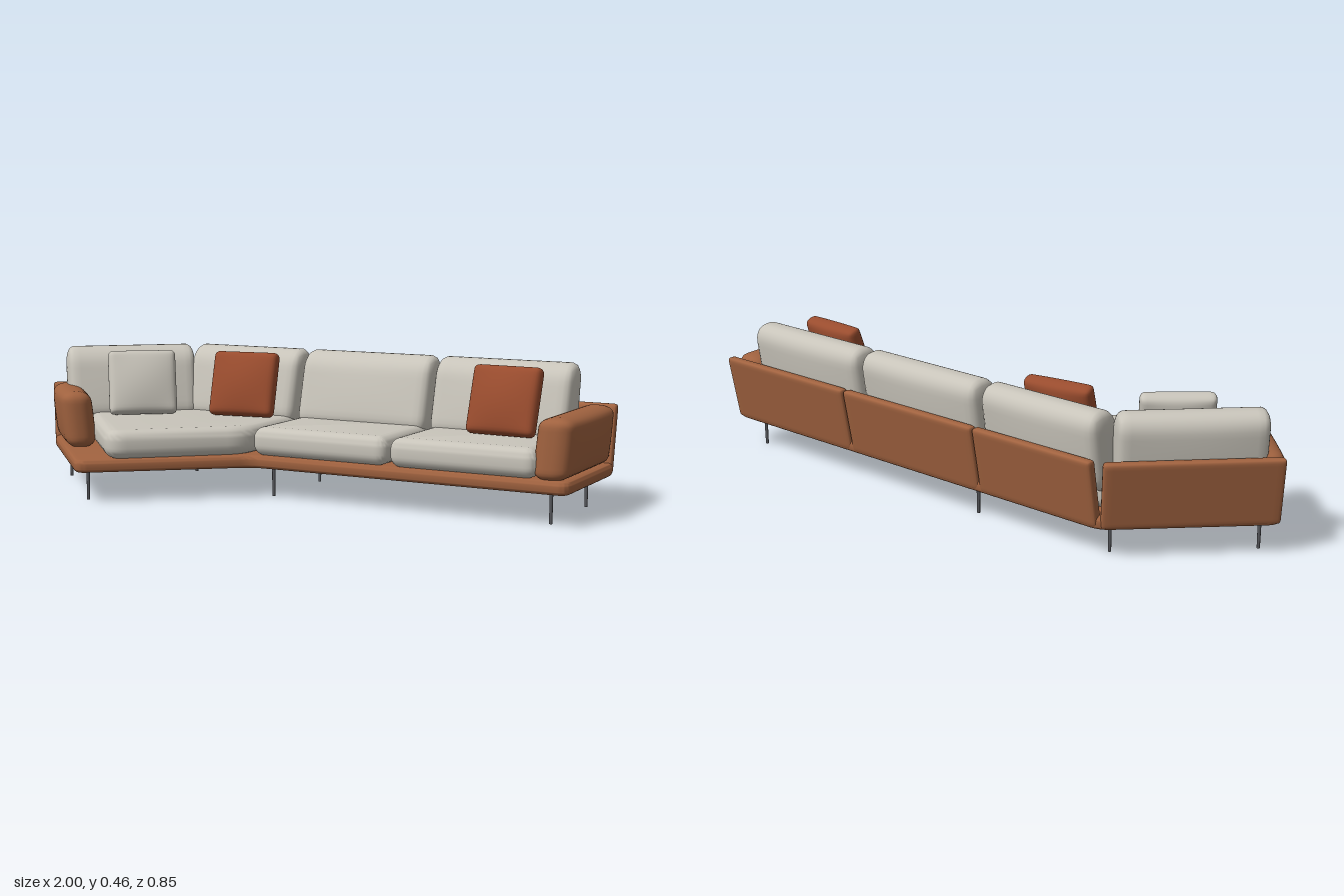
import * as THREE from 'three';
import { mergeVertices, toCreasedNormals } from 'three/addons/utils/BufferGeometryUtils.js';

const mat = (color) => new THREE.MeshStandardMaterial({ color, roughness: 0.9 });
const leather = mat(0xa0623f);
const fabric = mat(0xc8c4ba);
const rust = mat(0x994c2e);
const metal = mat(0x55565a);

function add(parent, name, geometry, material, x = 0, y = 0, z = 0) {
  const mesh = new THREE.Mesh(geometry, material);
  mesh.name = name;
  mesh.position.set(x, y, z);
  parent.add(mesh);
  return mesh;
}

// Soft block: per-axis edge radii, puffed along z, tapered and leaning back with height.
function softBlock(size, radius, { puff = 0, lean = 0, taper = 0 } = {}) {
  const half = new THREE.Vector3(...size).multiplyScalar(0.5);
  const r = new THREE.Vector3(...radius);
  const inner = half.clone().sub(r);
  let geo = new THREE.BoxGeometry(2, 2, 2, 20, 20, 20);
  geo.deleteAttribute('uv');
  geo.deleteAttribute('normal');
  geo = mergeVertices(geo);
  const pos = geo.attributes.position;
  const p = new THREE.Vector3(), core = new THREE.Vector3();
  for (let i = 0; i < pos.count; i++) {
    p.fromBufferAttribute(pos, i);
    // Crowd the grid towards the edges, where the rounding is
    p.set(...p.toArray().map((t) => Math.sin(t * Math.PI / 2))).multiply(half);
    core.copy(p).clamp(inner.clone().negate(), inner);
    p.sub(core).divide(r).normalize().multiply(r).add(core);
    const u = p.x / half.x, v = p.y / half.y;
    p.z *= (1 + puff * (1 - u * u) * (1 - v * v)) * (1 - taper * v);
    p.z -= lean * p.y;
    pos.setXYZ(i, p.x, p.y, p.z);
  }
  geo.computeVertexNormals();
  return geo;
}

// Flat slab from a plan outline of [x, z] corners, with rounded corners and edges.
function slab(corners, y0, y1, cornerRadius, bevel) {
  const pts = corners.map(([x, z]) => new THREE.Vector2(x, -z));
  const shape = new THREE.Shape();
  pts.forEach((c, i) => {
    const prev = pts[(i + pts.length - 1) % pts.length];
    const next = pts[(i + 1) % pts.length];
    const a = c.clone().add(prev.clone().sub(c).setLength(cornerRadius));
    const b = c.clone().add(next.clone().sub(c).setLength(cornerRadius));
    if (i === 0) shape.moveTo(a.x, a.y);
    else shape.lineTo(a.x, a.y);
    shape.quadraticCurveTo(c.x, c.y, b.x, b.y);
  });
  shape.closePath();
  const geo = new THREE.ExtrudeGeometry(shape, {
    depth: y1 - y0 - 2 * bevel, bevelThickness: bevel, bevelSize: bevel,
    bevelOffset: -bevel, bevelSegments: 6, curveSegments: 8,
  });
  geo.rotateX(-Math.PI / 2);
  geo.translate(0, y0 + bevel, 0);
  return toCreasedNormals(geo, 0.8);
}

// One backrest: leaning leather panel with a loose cushion in front of it.
function backrest(parent, x, z, angle, panelWidth, cushionWidth, cushionShift = 0) {
  const group = new THREE.Group();
  group.name = 'backrest';
  group.position.set(x, 0, z);
  group.rotation.y = angle;
  add(group, 'backPanel',
    softBlock([panelWidth, 0.225, 0.036], [0.012, 0.012, 0.015], { lean: 0.18 }),
    leather, 0, 0.217, -0.002);
  add(group, 'backCushion',
    softBlock([cushionWidth, 0.265, 0.135], [0.025, 0.06, 0.062], { puff: 0.12, lean: 0.2, taper: 0.12 }),
    fabric, cushionShift, 0.33, 0.066);
  parent.add(group);
}

export function createModel() {
  const sofa = new THREE.Group();
  sofa.name = 'cornerSofa';
  const turn = 0.745; // angle of the turned end

  // Platform
  add(sofa, 'platform', slab([
    [0.985, -0.385], [0.985, 0.067], [-0.11, 0.067],
    [-0.555, 0.445], [-0.985, -0.015], [-0.58, -0.385],
  ], 0.1, 0.143, 0.04, 0.015), leather);

  // Seat cushions
  const seats = [
    [[0.88, -0.36], [0.88, 0.068], [0.385, 0.068], [0.385, -0.36]],
    [[0.376, -0.36], [0.376, 0.068], [-0.115, 0.068], [-0.115, -0.36]],
    [[-0.124, -0.36], [-0.124, 0.068], [-0.47, 0.39], [-0.86, -0.04], [-0.56, -0.34]],
  ];
  seats.forEach((s, i) => add(sofa, 'seatCushion',
    slab(s, 0.142, 0.237, i === 2 ? 0.07 : 0.04, 0.036), fabric));

  // Backrests: three in a row and one on the turned end
  backrest(sofa, 0.708, -0.385, 0, 0.545, 0.485, -0.08);
  backrest(sofa, 0.158, -0.385, 0, 0.545, 0.49, -0.027);
  backrest(sofa, -0.343, -0.385, 0, 0.45, 0.445, -0.005);
  backrest(sofa, -0.785, -0.2, turn, 0.54, 0.46);

  // Padded arms
  const armOptions = { puff: 0.18, lean: 0.09 };
  const leftArm = add(sofa, 'rightArm',
    softBlock([0.36, 0.195, 0.1], [0.045, 0.035, 0.046], armOptions), leather, -0.83, 0.235, 0.075);
  leftArm.rotation.y = Math.PI / 2 + turn;
  const rightArm = add(sofa, 'leftArm',
    softBlock([0.44, 0.195, 0.112], [0.04, 0.03, 0.05], armOptions), leather, 0.925, 0.235, -0.158);
  rightArm.rotation.y = -Math.PI / 2;

  // Scatter pillows, resting back against the cushions
  const pillow = softBlock([0.235, 0.225, 0.052], [0.018, 0.018, 0.024], { puff: 0.75 });
  const pillows = [
    [-0.278, -0.167, 0.15, rust], [0.685, -0.17, -0.05, rust], [-0.617, -0.04, 0.68, fabric],
  ];
  for (const [x, z, angle, material] of pillows) {
    const mesh = add(sofa, 'scatterPillow', pillow, material, x, 0.348, z);
    mesh.rotation.set(-0.3, angle, 0, 'YXZ');
  }

  // Slim legs
  const leg = new THREE.CylinderGeometry(0.006, 0.005, 0.104, 12);
  const feet = [
    [0.91, 0], [0.91, -0.325], [-0.065, 0], [-0.065, -0.325],
    [-0.56, -0.3], [-0.57, 0.352], [-0.9, 0],
  ];
  for (const [x, z] of feet) add(sofa, 'leg', leg, metal, x, 0.052, z);

  return sofa;
}
